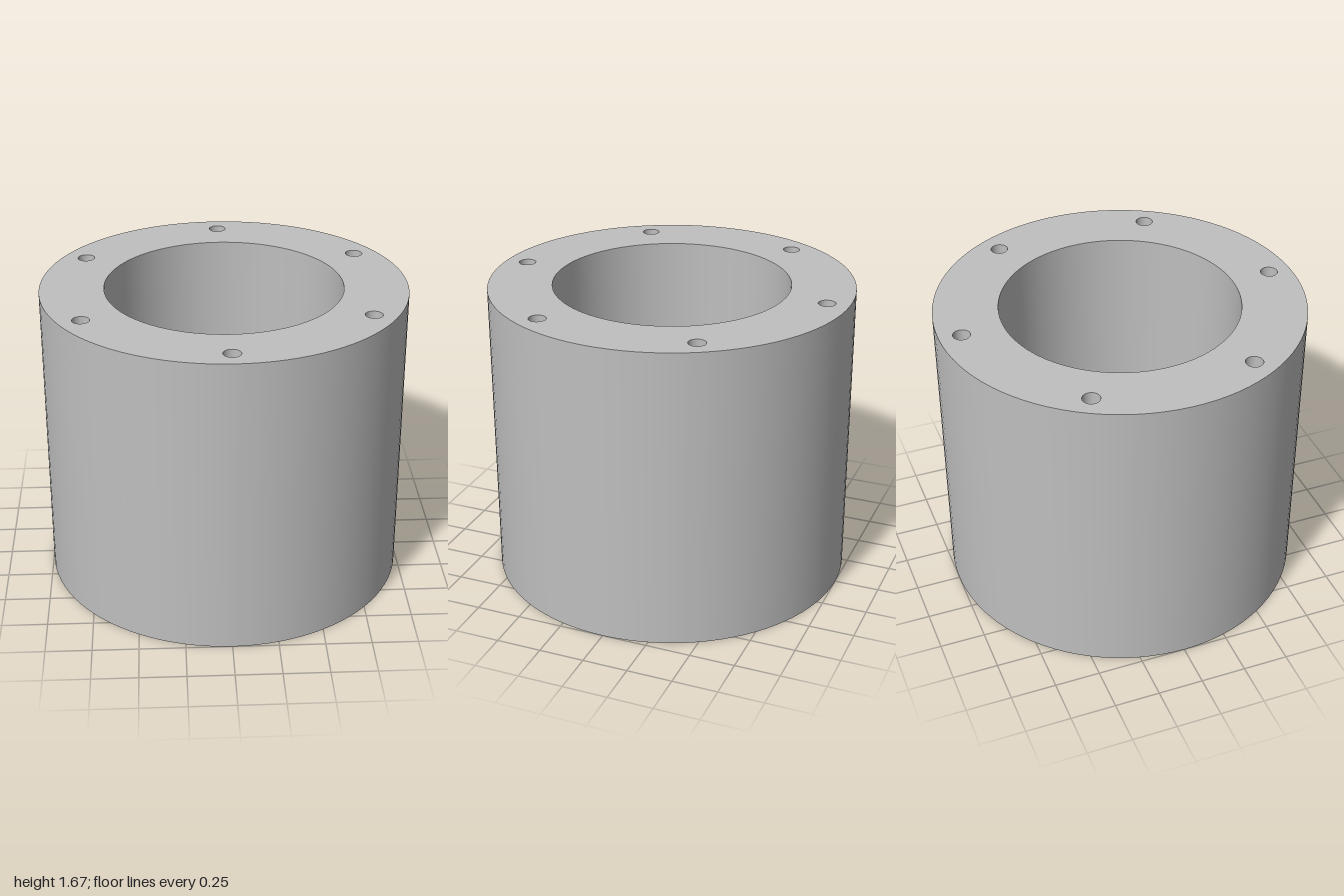
import * as THREE from 'three';

const SEG = 96;
const R = 1, H = 1.67, BORE = 0.65, FLOOR = 0.33;

const metal = new THREE.MeshStandardMaterial({ color: 0xbfbfbf });
metal.name = 'grey metal';

function add(parent, name, geometry) {
  const mesh = new THREE.Mesh(geometry, metal);
  mesh.name = name;
  parent.add(mesh);
  return mesh;
}

// surface of revolution between two [radius, y] points: rising faces outward, falling faces inward
function revolve(a, b) {
  return new THREE.LatheGeometry([new THREE.Vector2(...a), new THREE.Vector2(...b)], SEG);
}

// flat disc pierced by circular holes given as [x, y, radius]
function piercedDisc(holes) {
  const shape = new THREE.Shape().absarc(0, 0, R, 0, Math.PI * 2, false);
  for (const [x, y, r] of holes) {
    shape.holes.push(new THREE.Path().absarc(x, y, r, 0, Math.PI * 2, true));
  }
  return new THREE.ShapeGeometry(shape, SEG / 2);
}

// evenly spaced hole centres on a bolt circle
function boltCircle(count, circle, r, start) {
  return Array.from({ length: count }, (_, i) => {
    const a = start + (i * Math.PI * 2) / count;
    return [circle * Math.cos(a), circle * Math.sin(a), r];
  });
}

// blind drilled hole opening upward at its origin, with a conical tip
function drilledHole(name, r, depth) {
  const hole = new THREE.Group();
  hole.name = name;
  add(hole, 'holeWall', revolve([r, 0], [r, -depth]));
  add(hole, 'holeTip', revolve([r, -depth], [0, -depth - r * 0.6]));
  return hole;
}

export function createModel() {
  const model = new THREE.Group();
  model.name = 'flangedCup';

  const rimHoles = boltCircle(6, 0.877, 0.047, Math.PI / 2);
  const baseHoles = boltCircle(4, 0.667, 0.042, Math.PI / 4);

  // body
  add(model, 'outerWall', revolve([R, 0], [R, H]));
  add(model, 'boreWall', revolve([BORE, H], [BORE, FLOOR]));
  add(model, 'boreFloor', new THREE.CircleGeometry(BORE, SEG).rotateX(-Math.PI / 2)).position.y = FLOOR;
  add(model, 'topRim', piercedDisc([[0, 0, BORE], ...rimHoles]).rotateX(-Math.PI / 2)).position.y = H;
  add(model, 'base', piercedDisc(baseHoles).rotateX(Math.PI / 2));

  // rim holes, drilled downward
  for (const [x, y, r] of rimHoles) {
    const hole = drilledHole('rimHole', r, 0.25);
    hole.position.set(x, H, -y);
    model.add(hole);
  }

  // base holes, drilled upward
  for (const [x, y, r] of baseHoles) {
    const hole = drilledHole('baseHole', r, 0.2);
    hole.rotation.x = Math.PI;
    hole.position.set(x, 0, y);
    model.add(hole);
  }

  return model;
}
